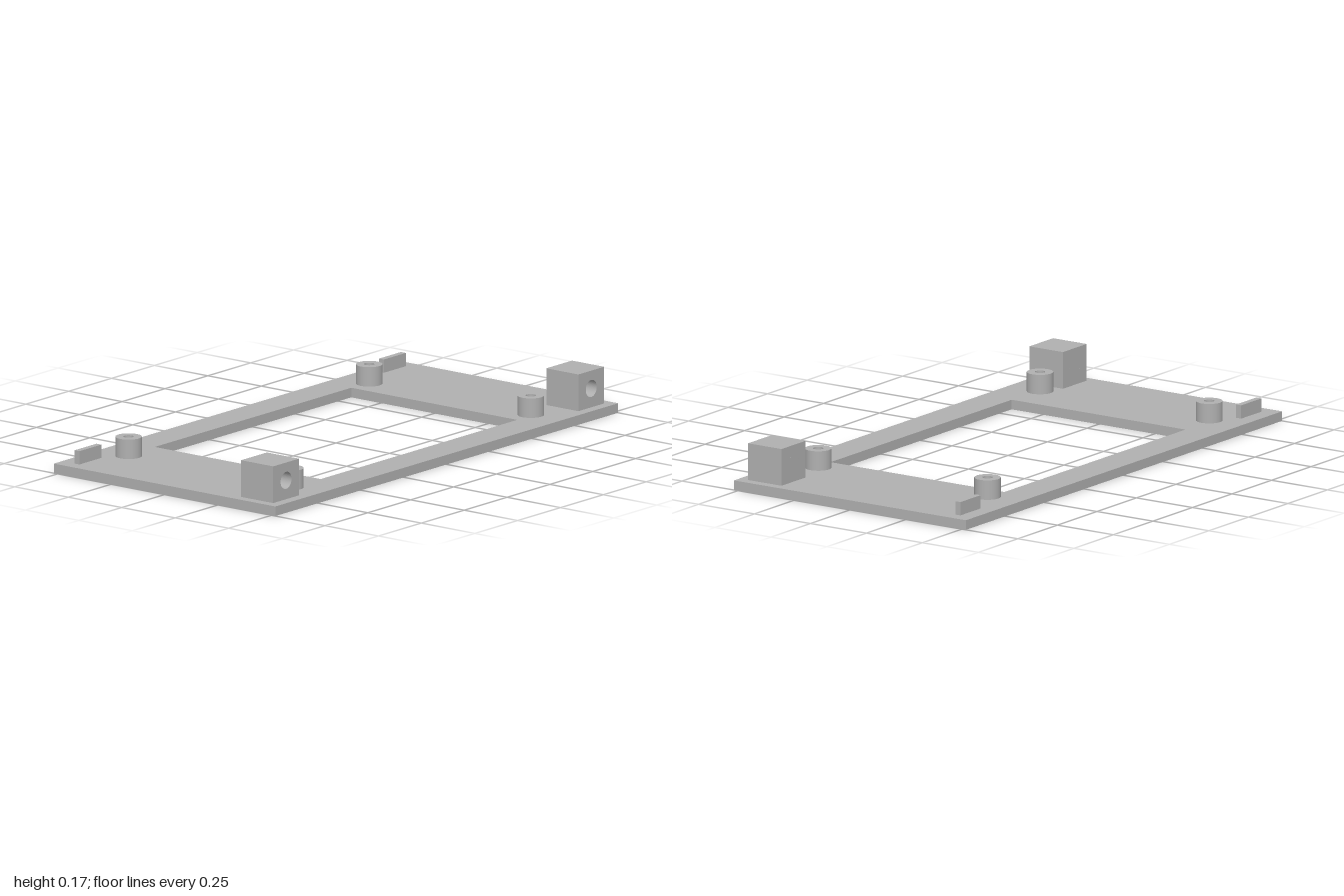
import * as THREE from 'three';

const PLATE_TOP = 0.036;
const SEGMENTS = 32;

// Closed rectangle centred on (0, 0)
function rectangle(PathType, halfW, halfH) {
  return new PathType([
    new THREE.Vector2(-halfW, -halfH), new THREE.Vector2(halfW, -halfH),
    new THREE.Vector2(halfW, halfH), new THREE.Vector2(-halfW, halfH),
  ]);
}

function circleHole(x, y, r) {
  const path = new THREE.Path();
  path.absarc(x, y, r, 0, Math.PI * 2, true);
  return path;
}

export function createModel() {
  const model = new THREE.Group();
  model.name = 'mountingFrame';
  const grey = new THREE.MeshStandardMaterial({ color: 0xb0b0b0 });
  grey.name = 'grey plastic';

  function add(name, geometry, x = 0, y = 0, z = 0) {
    const mesh = new THREE.Mesh(geometry, grey);
    mesh.name = name;
    mesh.position.set(x, y, z);
    model.add(mesh);
    return mesh;
  }

  function extrude(shape, depth) {
    return new THREE.ExtrudeGeometry(shape, { depth, bevelEnabled: false, curveSegments: SEGMENTS });
  }

  // Flat plate with a window and two shallow holes in the underside
  const holeX = 0.615, holeR = 0.02, holeDepth = 0.027;
  const plate = rectangle(THREE.Shape, 1, 0.518);
  plate.holes.push(rectangle(THREE.Path, 0.573, 0.388));
  for (const side of [-1, 1]) plate.holes.push(circleHole(side * holeX, 0, holeR));
  add('plate', extrude(plate, PLATE_TOP).rotateX(-Math.PI / 2));

  // Hollow standoffs, each a lathed tube with a floor in the bore
  const standoffProfile = [
    [0.0485, 0], [0.0485, 0.073], [0.0485, 0.073], [0.019, 0.073],
    [0.019, 0.073], [0.019, 0.001], [0.019, 0.001], [0, 0.001],
  ].map(([r, y]) => new THREE.Vector2(r, y));
  // Separate straight runs keep the rims sharp
  for (const x of [-0.738, 0.665]) {
    for (const z of [-0.378, 0.378]) {
      const standoff = new THREE.Group();
      standoff.name = 'standoff';
      standoff.position.set(x, PLATE_TOP, z);
      for (let i = 0; i < standoffProfile.length; i += 2) {
        const wall = new THREE.Mesh(
          new THREE.LatheGeometry(standoffProfile.slice(i, i + 2), SEGMENTS), grey);
        wall.name = 'standoffSurface';
        standoff.add(wall);
      }
      model.add(standoff);
    }
  }

  // Corner blocks with a blind hole in the front face
  const blockSize = 0.15, blockHeight = 0.138, boreDepth = 0.12;
  const block = rectangle(THREE.Shape, blockSize / 2, blockHeight / 2);
  block.holes.push(circleHole(0, 0.002, 0.032));

  for (const side of [-1, 1]) {
    // Solid end of the underside hole
    const plugHeight = PLATE_TOP - holeDepth;
    add('plateHoleEnd', new THREE.CylinderGeometry(holeR, holeR, plugHeight, SEGMENTS),
      side * holeX, holeDepth + plugHeight / 2, 0);

    const blockY = PLATE_TOP + blockHeight / 2;
    add('cornerBlock', extrude(block, blockSize), side * 0.89, blockY, 0.33);
    // Solid end of the bore
    const endDepth = blockSize - boreDepth;
    add('blockBoreEnd',
      new THREE.CylinderGeometry(0.032, 0.032, endDepth, SEGMENTS).rotateX(Math.PI / 2),
      side * 0.89, blockY + 0.002, 0.33 + endDepth / 2);

    // Thin upright tab by the back edge
    add('backTab', new THREE.BoxGeometry(0.128, 0.05, 0.023),
      side * 0.888, PLATE_TOP + 0.025, -0.448);
  }

  return model;
}
